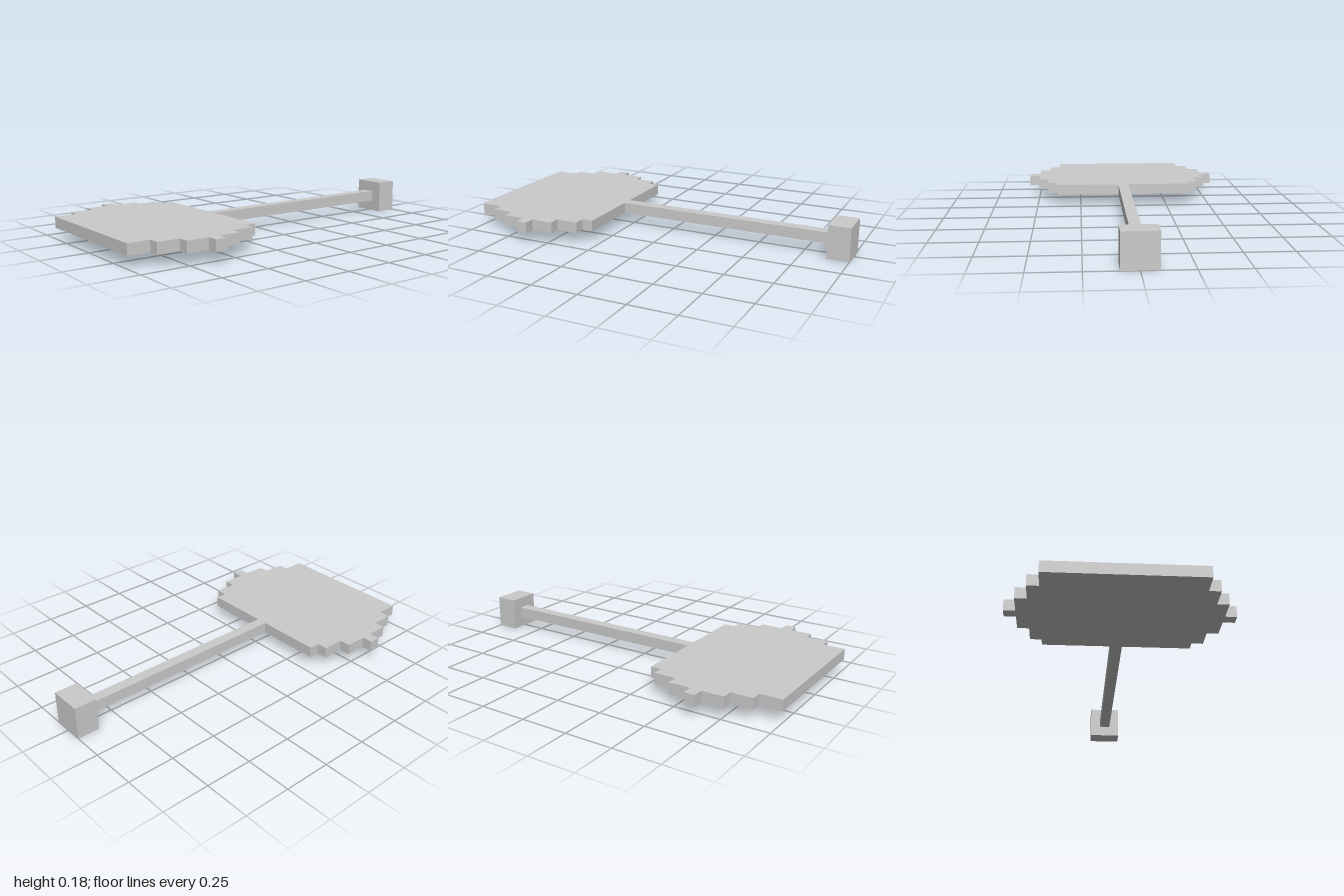
import * as THREE from 'three';

const U = 1 / 17; // one voxel
const material = new THREE.MeshStandardMaterial({ color: 0xcccccc, flatShading: true });

// Box from voxel sizes, centred on x = 0, spanning y0..y1 and z0..z1
function voxelBox(name, width, y0, y1, z0, z1) {
  const mesh = new THREE.Mesh(
    new THREE.BoxGeometry(width * U, (y1 - y0) * U, (z1 - z0) * U), material);
  mesh.position.set(0, (y0 + y1) / 2 * U, (z0 + z1) / 2 * U);
  mesh.name = name;
  return mesh;
}

// Flat blade with stepped sides, mirrored in x
function createBlade() {
  // Each step: [z start, z end, half width]
  const steps = [[5, 6, 6.5], [6, 8, 7.5], [8, 10, 8.5], [10, 11, 9.5],
    [11, 13, 8.5], [13, 15, 7.5], [15, 17, 6.5]];
  const side = steps.flatMap(([z0, z1, w]) => [[w, z0], [w, z1]]);
  const mirrored = side.map(([x, z]) => [-x, z]).reverse();
  const outline = [...side, ...mirrored].map(([x, z]) => new THREE.Vector2(x * U, z * U));
  const geometry = new THREE.ExtrudeGeometry(new THREE.Shape(outline),
    { depth: U, bevelEnabled: false });
  geometry.rotateX(Math.PI / 2).translate(0, 2 * U, 0);
  const mesh = new THREE.Mesh(geometry, material);
  mesh.name = 'blade';
  return mesh;
}

export function createModel() {
  const model = new THREE.Group();
  model.name = 'paddle';
  model.add(
    createBlade(),
    voxelBox('handle', 1, 1, 2, -15, 5),
    voxelBox('endBlock', 3, 0, 3, -17, -15)
  );
  return model;
}
